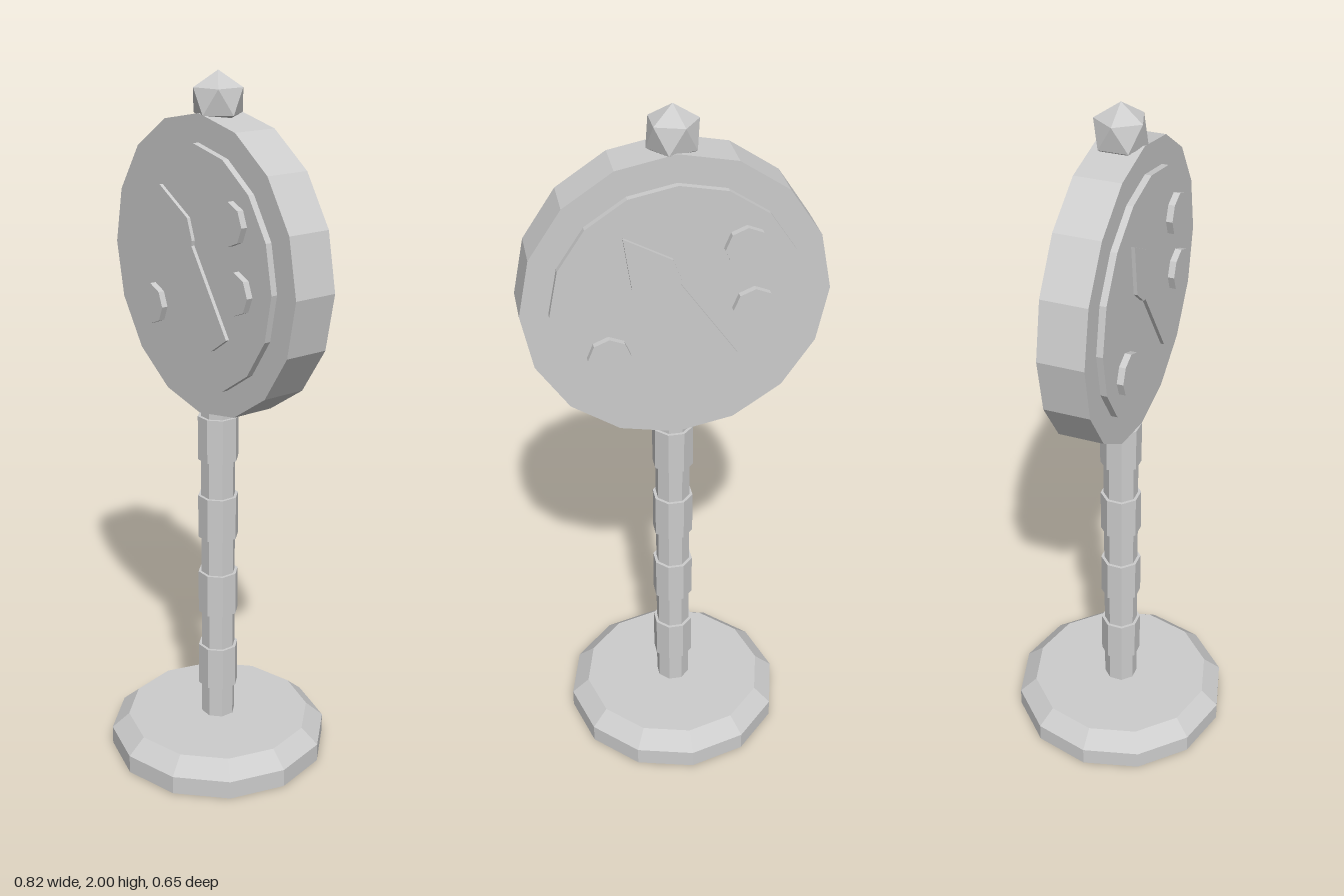
import * as THREE from 'three';
import { ConvexGeometry } from 'three/addons/geometries/ConvexGeometry.js';

export function createModel() {
  const model = new THREE.Group();
  model.name = 'signalPost';
  const stone = new THREE.MeshStandardMaterial({ color: 0xcccccc, flatShading: true });
  stone.name = 'light grey';

  const add = (name, geometry, parent = model) => {
    const mesh = new THREE.Mesh(geometry, stone);
    mesh.name = name;
    parent.add(mesh);
    return mesh;
  };

  // Upright prism between two heights
  const post = (name, rTop, rBottom, y0, y1, sides, turn = 0) => {
    const g = new THREE.CylinderGeometry(rTop, rBottom, y1 - y0, sides);
    g.rotateY(turn);
    add(name, g).position.y = (y0 + y1) / 2;
  };

  // Disc facing z, from z0 to z1
  const disc = (name, r, z0, z1, sides, x, y, parent) => {
    const g = new THREE.CylinderGeometry(r, r, z1 - z0, sides);
    g.rotateX(Math.PI / 2);
    add(name, g, parent).position.set(x, y, (z0 + z1) / 2);
  };

  // Twelve-sided foot with a sloped upper edge
  add('base', new THREE.LatheGeometry([
    [0, 0], [0.323, 0], [0.323, 0.055], [0.272, 0.1], [0, 0.1],
  ].map(([r, y]) => new THREE.Vector2(r, y)), 12));

  // Octagonal pole with four thicker bands
  post('pole', 0.05, 0.05, 0.1, 1.12, 8, Math.PI / 8);
  for (let i = 0; i < 4; i++) {
    const y = 0.2 + i * 0.242;
    post('poleBand', 0.059, 0.059, y, y + 0.13, 8, Math.PI / 8);
  }

  // Round sign head
  const head = new THREE.Group();
  head.name = 'signHead';
  head.position.y = 1.485;
  model.add(head);
  disc('rim', 0.41, -0.063, 0.063, 16, 0, 0, head);

  // Arrow outline: distance along the axis from the tip, half width
  const profile = [[0, 0], [0.13, 0.065], [0.19, 0.05], [0.2, 0.04], [0.472, 0.04]];
  const tip = new THREE.Vector2(-0.143, 0.208);
  const along = new THREE.Vector2(0.57, -0.822);
  const corner = (d, w) => new THREE.Vector2(
    tip.x + along.x * d - along.y * w, tip.y + along.y * d + along.x * w);
  const outline = [
    ...profile.map(([d, w]) => corner(d, w)),
    ...profile.slice(1).reverse().map(([d, w]) => corner(d, -w)),
  ];

  // Same raised face on the front and the back
  for (const turn of [0, Math.PI]) {
    const face = new THREE.Group();
    face.name = turn ? 'backFace' : 'frontFace';
    face.rotation.y = turn;
    head.add(face);
    disc('dial', 0.335, 0.05, 0.081, 16, 0, 0, face);
    for (const [x, y] of [[0.175, 0.155], [0.2, -0.022], [-0.185, -0.131]]) {
      disc('stud', 0.058, 0.07, 0.099, 8, x, y, face);
    }
    const arrow = new THREE.ExtrudeGeometry(new THREE.Shape(outline), { depth: 0.02, bevelEnabled: false });
    add('arrow', arrow, face).position.z = 0.071;
  }

  // Twenty-sided finial standing on one corner
  const R = 0.076, points = [new THREE.Vector3(0, R, 0), new THREE.Vector3(0, -R, 0)];
  for (let i = 0; i < 10; i++) {
    const a = i * Math.PI / 5, ring = R * 0.8944;
    points.push(new THREE.Vector3(ring * Math.cos(a), R * (i % 2 ? 0.4472 : -0.4472), ring * Math.sin(a)));
  }
  add('finial', new ConvexGeometry(points)).position.y = 2 - R;

  return model;
}
